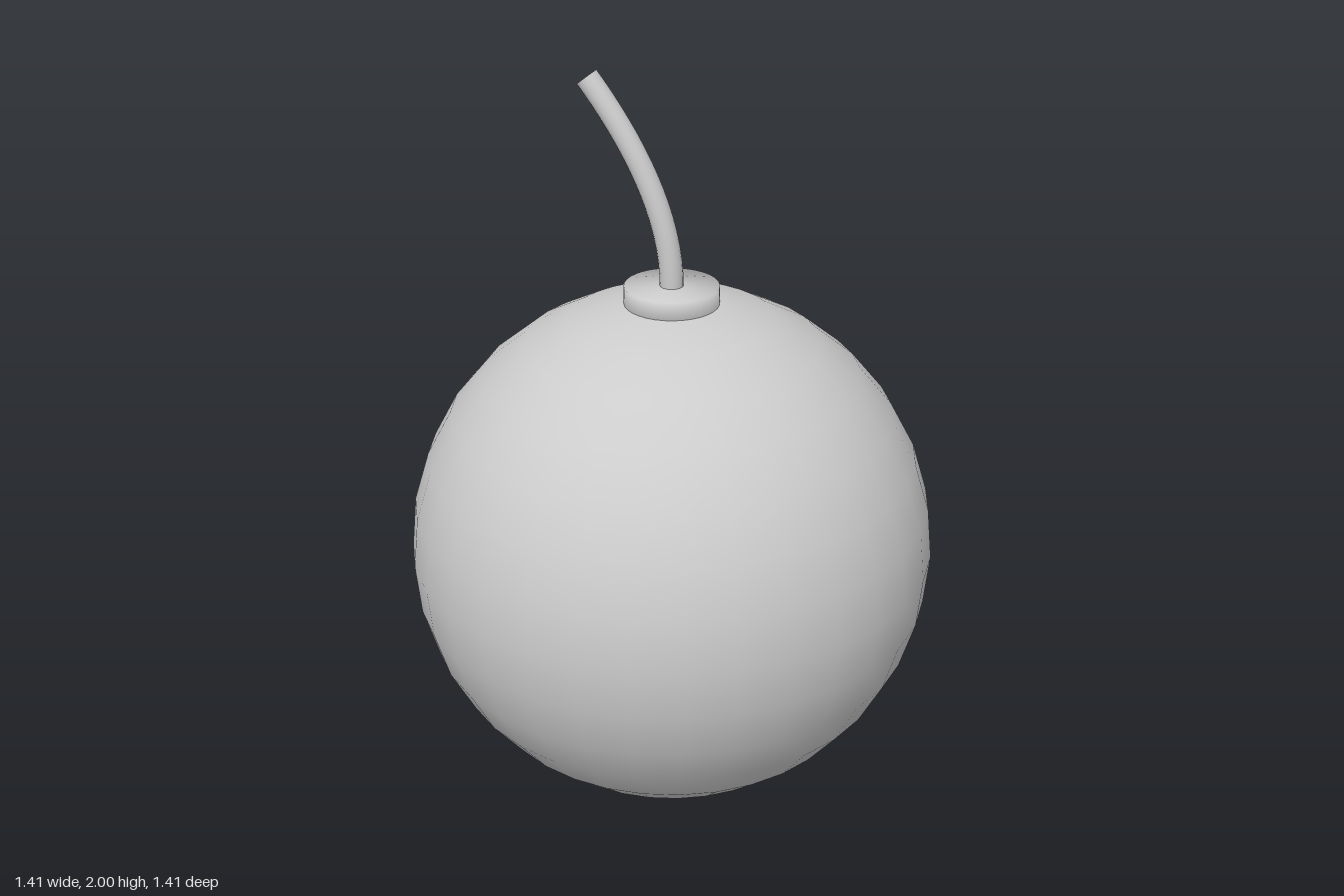
import * as THREE from 'three';
import { mergeVertices } from 'three/addons/utils/BufferGeometryUtils.js';

// Shares vertices across edges so the whole surface shades smoothly
function smooth(geometry) {
  geometry.deleteAttribute('normal');
  geometry.deleteAttribute('uv');
  const merged = mergeVertices(geometry, 1e-4);
  merged.computeVertexNormals();
  return merged;
}

export function createModel() {
  const group = new THREE.Group();
  const material = new THREE.MeshStandardMaterial({ color: 0xcccccc });
  const add = (name, geometry) => {
    const mesh = new THREE.Mesh(geometry, material);
    mesh.name = name;
    group.add(mesh);
    return mesh;
  };

  // Round body
  const radius = 0.707;
  add('body', new THREE.SphereGeometry(radius, 32, 16)).position.y = radius;

  // Short collar on top of the body
  const collar = smooth(new THREE.CylinderGeometry(0.125, 0.125, 0.09, 32));
  add('collar', collar).position.y = 1.405;

  // Curved fuse, leaning to the model's right
  const fuseRadius = 0.031;
  const path = new THREE.QuadraticBezierCurve3(
    new THREE.Vector3(0, 1.44, 0),
    new THREE.Vector3(0.003, 1.69, 0),
    new THREE.Vector3(-0.228, 1.98, 0)
  );
  add('fuse', new THREE.TubeGeometry(path, 16, fuseRadius, 16));

  // Flat tip closing the fuse
  const tip = add('fuseTip', new THREE.CircleGeometry(fuseRadius, 16));
  tip.position.copy(path.getPoint(1));
  tip.quaternion.setFromUnitVectors(new THREE.Vector3(0, 0, 1), path.getTangent(1));

  return group;
}
